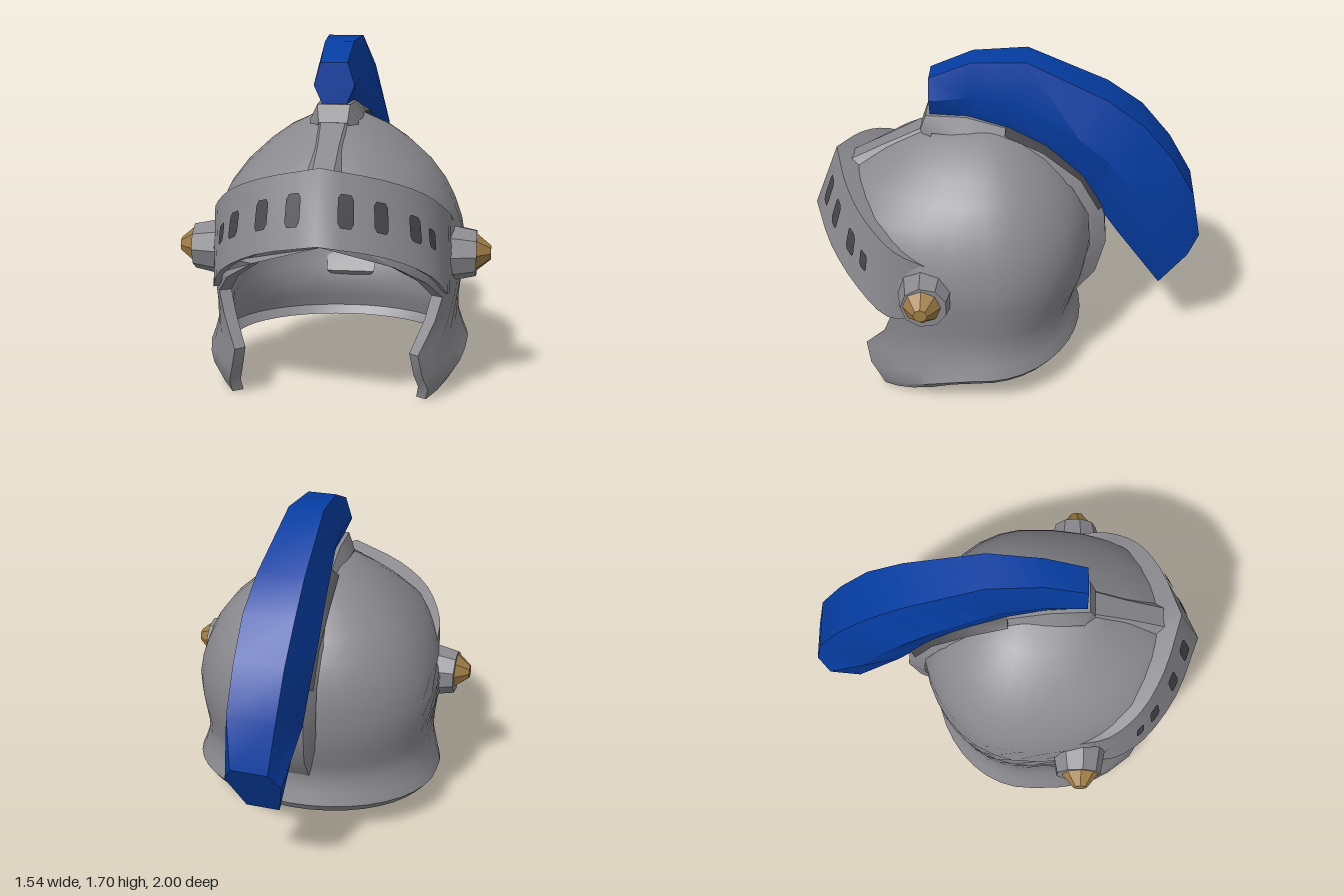
import * as THREE from 'three';
import { toCreasedNormals } from 'three/addons/utils/BufferGeometryUtils.js';

const mat = (name, color) => new THREE.MeshStandardMaterial({ name, color, side: THREE.DoubleSide });

// Solid skin over equal-length closed sections; end caps are strips across each section.
function loft(sections, crease) {
  const m = sections[0].length;
  const pos = sections.flat(2);
  const idx = [];
  const quad = (a, b, c, d) => idx.push(a, b, c, a, c, d);
  for (let s = 0; s < sections.length - 1; s++) {
    for (let i = 0; i < m; i++) {
      const j = (i + 1) % m;
      quad(s * m + i, s * m + j, (s + 1) * m + j, (s + 1) * m + i);
    }
  }
  const last = (sections.length - 1) * m;
  for (let i = 0; i < m / 2 - 1; i++) {
    quad(m - 1 - i, m - 2 - i, i + 1, i);
    quad(last + i, last + i + 1, last + m - 2 - i, last + m - 1 - i);
  }
  // Turn faces outward by the sign of the enclosed volume
  const v = (i) => new THREE.Vector3().fromArray(pos, i * 3);
  let volume = 0;
  for (let i = 0; i < idx.length; i += 3) volume += v(idx[i]).dot(v(idx[i + 1]).cross(v(idx[i + 2])));
  if (volume < 0) idx.reverse();
  const geo = new THREE.BufferGeometry();
  geo.setAttribute('position', new THREE.Float32BufferAttribute(pos, 3));
  geo.setIndex(idx);
  return toCreasedNormals(geo, crease);
}

// Bowl rows: height, half width, front z, back z, z of the face opening's edge
const ROWS = [
  [0.145, 0.62, 0.80, -0.37, 0.62], [0.19, 0.66, 0.80, -0.40, 0.64],
  [0.25, 0.635, 0.86, -0.38, 0.69], [0.33, 0.61, 0.88, -0.355, 0.71],
  [0.42, 0.61, 0.87, -0.38, 0.60], [0.50, 0.62, 0.88, -0.41, 0.56],
  [0.60, 0.635, 0.88, -0.43, 0.69], [0.70, 0.64, 0.88, -0.44, 0.81],
  [0.80, 0.62, 0.88, -0.44, 2], [0.90, 0.585, 0.87, -0.42, 2],
  [1.00, 0.535, 0.85, -0.38, 2], [1.10, 0.46, 0.77, -0.31, 2],
  [1.20, 0.35, 0.62, -0.22, 2], [1.27, 0.25, 0.50, -0.12, 2],
  [1.33, 0.12, 0.41, 0.0, 2], [1.35, 0.002, 0.13, 0.11, 2],
];
const CZ = 0.12;

function bowlSection([y, w, f, b, edge]) {
  const N = 30;
  const n = y < 1.05 ? 2.4 : 2;
  const a0 = edge < f ? Math.acos(((edge - CZ) / (f - CZ)) ** (n / 2)) : 0;
  const outer = [], inner = [];
  for (let i = 0; i <= N; i++) {
    const a = a0 + (2 * Math.PI - 2 * a0) * (i / N);
    const c = Math.cos(a), s = Math.sin(a);
    const p = c > 0 ? 2 / n : 1;
    const x = w * Math.sign(s) * Math.abs(s) ** p;
    const z = CZ + (c > 0 ? (f - CZ) * c ** p : (CZ - b) * c);
    // Cheeks hang lower toward the front
    const drop = 0.33 * Math.max(0, z - 0.2) * Math.max(0, (0.5 - y) / 0.355);
    outer.push([x, y - drop, z]);
    inner.unshift([x * 0.9, y - drop - 0.05 * THREE.MathUtils.smoothstep(y, 0.9, 1.2), CZ + (z - CZ) * 0.93]);
  }
  return [...outer, ...inner];
}

// Raised rib along the centre line: points are [z, y, half width]
function ribGeometry(points, depth) {
  return loft(points.map(([z, y, h]) => {
    const d = new THREE.Vector2(0.1 - z, 0.7 - y).normalize().multiplyScalar(depth);
    return [[-h, y, z], [h, y, z], [h + 0.04, y + d.y, z + d.x], [-h - 0.04, y + d.y, z + d.x]];
  }), 0.8);
}
const CREST = [[0.43, 1.315, 0.07], [0.4, 1.4, 0.08], [0.2, 1.4, 0.09], [0, 1.35, 0.1], [-0.2, 1.26, 0.11],
  [-0.4, 1.1, 0.11], [-0.5, 0.92, 0.11], [-0.52, 0.7, 0.11], [-0.47, 0.5, 0.1], [-0.36, 0.35, 0.09]];

// Visor band edges on the model's left, from centre to pivot
const curve = (pts) => new THREE.CatmullRomCurve3(pts.map((p) => new THREE.Vector3(...p)));
const visorTop = curve([[0, 1.165, 0.87], [0.28, 1.10, 0.78], [0.46, 1.02, 0.67], [0.565, 0.91, 0.52], [0.585, 0.84, 0.36]]);
const visorLow = curve([[0, 0.83, 1.0], [0.3, 0.76, 0.88], [0.5, 0.64, 0.72], [0.57, 0.52, 0.57], [0.58, 0.52, 0.40]]);
const visorPoint = (t, v) => visorLow.getPoint(Math.abs(t)).lerp(visorTop.getPoint(Math.abs(t)), v)
  .multiply(new THREE.Vector3(t < 0 ? -1 : 1, 1, 1));

function visorGeometry() {
  const sections = [];
  for (let i = -12; i <= 12; i++) {
    const t = visorPoint(i / 12, 1), l = visorPoint(i / 12, 0);
    const inward = (p, dy) => [p.x * 0.9, p.y + dy, p.z - 0.1];
    sections.push([t.toArray(), l.toArray(), inward(l, -0.01), inward(t, -0.04)]);
  }
  return loft(sections, 0.8);
}

// Thin plate with clipped corners lying just over the visor band
function slitGeometry(t, half, v0, v1) {
  const pos = [], k = (v1 - v0) * 0.15, h = half * 0.65;
  for (const [dt, v] of [[-h, v0], [h, v0], [half, v0 + k], [half, v1 - k],
    [h, v1], [-h, v1], [-half, v1 - k], [-half, v0 + k]]) {
    const p = visorPoint(t + dt, v);
    p.add(new THREE.Vector3(p.x * 0.9, 0.2, p.z - CZ).normalize().multiplyScalar(0.008));
    pos.push(...p.toArray());
  }
  const geo = new THREE.BufferGeometry();
  geo.setAttribute('position', new THREE.Float32BufferAttribute(pos, 3));
  geo.setIndex([0, 1, 2, 0, 2, 3, 0, 3, 4, 0, 4, 5, 0, 5, 6, 0, 6, 7]);
  geo.computeVertexNormals();
  return geo;
}

// Plume stations: outer z, y, inner z, y, half width
const PLUME = [
  [0.38, 1.60, 0.38, 1.40, 0.10], [0.17, 1.69, 0.18, 1.38, 0.11],
  [-0.10, 1.705, 0.0, 1.33, 0.135], [-0.50, 1.52, -0.25, 1.19, 0.175],
  [-0.68, 1.39, -0.38, 1.07, 0.19], [-0.83, 1.21, -0.47, 0.92, 0.185],
  [-0.95, 1.00, -0.57, 0.77, 0.18], [-1.0, 0.74, -0.81, 0.43, 0.14],
];

function plumeGeometry() {
  return loft(PLUME.map(([oz, oy, iz, iy, w], k) => {
    const q = k === 7 ? 0.3 : 0.55;
    const my = oy + (iy - oy) * q, mz = oz + (iz - oz) * q;
    return [[-w * 0.66, oy, oz], [w * 0.66, oy, oz], [w, my, mz],
      [w * 0.6, iy, iz], [-w * 0.6, iy, iz], [-w, my, mz]];
  }), 0.6);
}

export function createModel() {
  const steel = mat('steel', 0x8a898e);
  const blue = mat('plume blue', 0x053da2);
  const brass = mat('brass', 0x9f7d45);
  const dark = mat('slit dark', 0x46454a);
  const group = new THREE.Group();
  const add = (name, geo, material) => {
    const mesh = new THREE.Mesh(geo, material);
    mesh.name = name;
    group.add(mesh);
    return mesh;
  };

  add('bowl', loft(ROWS.map(bowlSection), 0.8), steel);
  add('crest', ribGeometry(CREST, 0.085), steel);
  // Dark seam where the plume meets the crest
  add('plumeSeam', ribGeometry(CREST.slice(3, 7).map(([z, y, h]) => [z, y + 0.005, h]), 0.03), dark);
  add('browRidge', ribGeometry([[0.8, 1.12, 0.05], [0.6, 1.225, 0.05], [0.41, 1.325, 0.06]], 0.05), steel);
  add('visor', visorGeometry(), steel);
  add('plume', plumeGeometry(), blue);

  // Dark lining inside the brow, behind the slits
  const lining = add('browLining', new THREE.CylinderGeometry(1, 1, 0.16, 12, 1, true, -0.6, 1.2), dark);
  lining.scale.set(0.47, 1, 0.65);
  lining.position.set(0, 0.91, CZ);

  for (const side of [1, -1]) {
    // Eye slits: position along the band, half width, lower and upper edge
    for (const [t, half, v0, v1] of [[0.1, 0.029, 0.28, 0.72], [0.235, 0.03, 0.3, 0.7],
      [0.41, 0.034, 0.33, 0.66], [0.53, 0.03, 0.36, 0.6]]) {
      add('eyeSlit', slitGeometry(side * t, half, v0, v1), dark);
    }
    // Pivot boss and brass stud
    const boss = add('pivotBoss', toCreasedNormals(new THREE.CylinderGeometry(0.115, 0.142, 0.13, 9), 0.6), steel);
    const stud = add('pivotStud', toCreasedNormals(new THREE.CylinderGeometry(0.035, 0.102, 0.08, 8), 0.6), brass);
    boss.position.set(side * 0.635, 0.68, 0.37);
    stud.position.set(side * 0.73, 0.685, 0.38);
    boss.rotation.z = stud.rotation.z = -side * Math.PI / 2;
  }
  return group;
}
